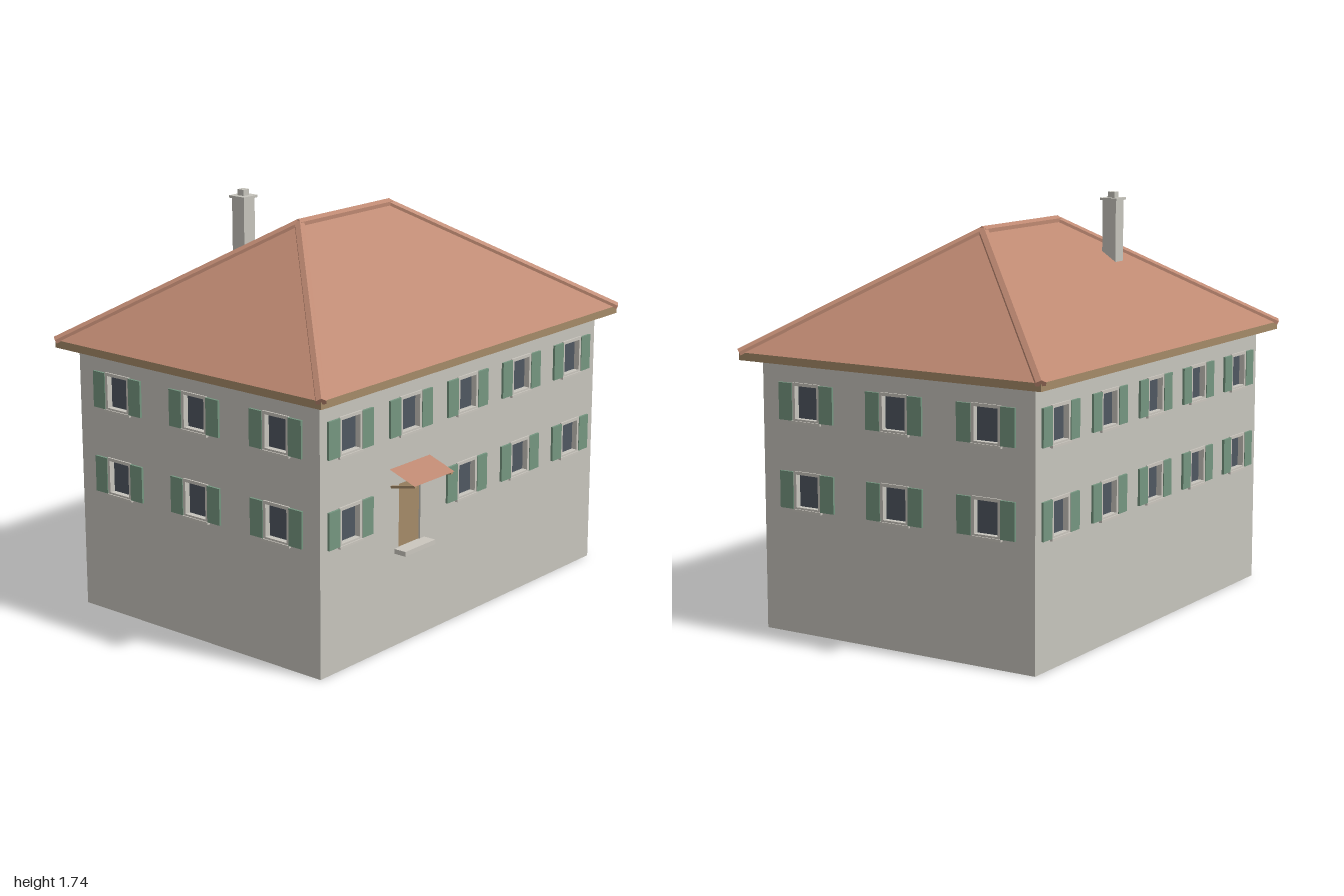
import * as THREE from 'three';

const mat = (name, color, side = THREE.FrontSide) => {
  const m = new THREE.MeshStandardMaterial({ color, side });
  m.name = name;
  return m;
};

export function createModel() {
  const plaster = mat('plaster', 0xc6c4bc);
  const trim = mat('stone trim', 0xcac6be);
  const tile = mat('roof tile', 0xbd8871, THREE.DoubleSide);
  const wood = mat('wood', 0xa48a68);
  const green = mat('shutter green', 0x759680);
  const glass = mat('window glass', 0x4f5761, THREE.DoubleSide);

  const model = new THREE.Group();
  model.name = 'house';
  const house = new THREE.Group();
  house.name = 'building';
  house.position.z = -0.026;
  model.add(house);

  const add = (parent, name, geo, material, x = 0, y = 0, z = 0) => {
    const mesh = new THREE.Mesh(geo, material);
    mesh.name = name;
    mesh.position.set(x, y, z);
    parent.add(mesh);
    return mesh;
  };
  const box = (parent, name, material, w, h, d, x, y, z) =>
    add(parent, name, new THREE.BoxGeometry(w, h, d), material, x, y, z);
  const rect = (Type, w, h, x = 0, y = 0) => {
    const s = new Type();
    s.moveTo(x - w / 2, y - h / 2);
    s.lineTo(x + w / 2, y - h / 2);
    s.lineTo(x + w / 2, y + h / 2);
    s.lineTo(x - w / 2, y + h / 2);
    s.closePath();
    return s;
  };
  const extrude = (shape, depth) => new THREE.ExtrudeGeometry(shape, { depth, bevelEnabled: false });
  // Flat-shaded surface from polygons listed counter-clockwise
  const panels = (polys) => {
    const pos = [];
    for (const p of polys)
      for (let i = 1; i < p.length - 1; i++) pos.push(...p[0], ...p[i], ...p[i + 1]);
    const g = new THREE.BufferGeometry();
    g.setAttribute('position', new THREE.Float32BufferAttribute(pos, 3));
    g.computeVertexNormals();
    return g;
  };

  // One shuttered window, centred on its opening
  const GW = 0.108, GH = 0.134;
  const frameShape = rect(THREE.Shape, 0.134, 0.16);
  frameShape.holes.push(rect(THREE.Path, GW, GH));
  const frameGeo = extrude(frameShape, 0.007);
  const addWindow = (wall, x, y) => {
    const w = new THREE.Group();
    w.name = 'window';
    w.position.set(x, y, 0);
    add(w, 'windowFrame', frameGeo, trim);
    add(w, 'windowPane', new THREE.PlaneGeometry(GW, GH), glass, 0, 0, -0.018);
    box(w, 'windowSill', trim, 0.142, 0.01, 0.012, 0, -0.08, 0.006);
    for (const s of [-1, 1]) box(w, 'shutter', green, 0.066, 0.152, 0.01, s * 0.1, 0.001, 0.005);
    wall.add(w);
  };

  // Walls with real openings
  const H = 1.15, ROWS = [0.592, 0.953];
  const doorX = -0.369, doorW = 0.138, doorH = 0.266, doorY = 0.543;
  const facade = (name, width, columns, distance, angle, hasDoor = false) => {
    const wall = new THREE.Group();
    wall.name = name;
    wall.rotation.y = angle;
    wall.position.set(Math.sin(angle) * distance, 0, Math.cos(angle) * distance);
    const shape = rect(THREE.Shape, width, H, 0, H / 2);
    for (const y of ROWS)
      for (const x of columns) {
        if (hasDoor && y === ROWS[0] && x === -0.37) continue;
        shape.holes.push(rect(THREE.Path, GW, GH, x, y));
        addWindow(wall, x, y);
      }
    if (hasDoor) shape.holes.push(rect(THREE.Path, doorW, doorH, doorX, doorY));
    add(wall, 'wall', extrude(shape, 0.02), plaster, 0, 0, -0.02);
    house.add(wall);
    return wall;
  };
  const WX = 0.916, WZ = 0.646;
  const longCols = [-0.74, -0.37, 0, 0.37, 0.74], shortCols = [-0.428, 0, 0.428];
  const front = facade('frontWall', WX * 2, longCols, WZ, 0, true);
  facade('backWall', WX * 2, longCols, WZ, Math.PI);
  facade('leftWall', WZ * 2, shortCols, WX, Math.PI / 2);
  facade('rightWall', WZ * 2, shortCols, WX, -Math.PI / 2);

  // Entrance: door, step, canopy on two struts
  box(front, 'door', wood, doorW, doorH, 0.008, doorX, doorY, -0.012);
  box(front, 'doorStep', trim, 0.192, 0.02, 0.057, doorX, 0.402, 0.028);
  const cx0 = -0.497, cx1 = -0.242;
  add(front, 'canopy', panels([[[cx0, 0.705, 0.125], [cx1, 0.705, 0.125], [cx1, 0.75, 0], [cx0, 0.75, 0]]]), tile);
  for (const x of [-0.485, -0.254]) {
    const strut = box(front, 'canopyStrut', wood, 0.012, 0.01, 0.123, x, 0.688, 0.061);
    strut.rotation.x = -0.21;
  }

  // Hipped roof: tiled top, wooden fascia and underside
  const EX = 0.985, EZ = 0.713, RX = 0.285, RISE = 0.472, TOP = 1.145, LOW = 1.113;
  const corners = (y) => [[-EX, y, EZ], [EX, y, EZ], [EX, y, -EZ], [-EX, y, -EZ]];
  const slopes = (y) => {
    const [a, b, c, d] = corners(y);
    const l = [-RX, y + RISE, 0], r = [RX, y + RISE, 0];
    return [[a, b, r, l], [b, c, r], [c, d, l, r], [d, a, l]];
  };
  const roof = new THREE.Group();
  roof.name = 'roof';
  house.add(roof);
  add(roof, 'roofTiles', panels(slopes(TOP)), tile);
  const lo = corners(LOW), hi = corners(TOP);
  const fascia = lo.map((p, i) => [p, lo[(i + 1) % 4], hi[(i + 1) % 4], hi[i]]);
  add(roof, 'fasciaAndSoffit', panels([...fascia, ...slopes(LOW).map((p) => [...p].reverse())]), wood);

  // Angled cap tiles along the ridge and hips
  const capTile = (name, from, to) => {
    const a = new THREE.Vector3(...from), b = new THREE.Vector3(...to);
    const s = new THREE.Shape();
    s.moveTo(-0.02, -0.012);
    s.lineTo(0.02, -0.012);
    s.lineTo(0.02, 0.004);
    s.lineTo(0, 0.015);
    s.lineTo(-0.02, 0.004);
    s.closePath();
    const mesh = add(roof, name, extrude(s, a.distanceTo(b)), tile);
    mesh.position.copy(a);
    mesh.lookAt(b.clone().add(house.position));
    const dir = b.clone().sub(a).normalize();
    const side = new THREE.Vector3(0, 1, 0).cross(dir).normalize();
    const up = dir.clone().cross(side);
    mesh.quaternion.setFromRotationMatrix(new THREE.Matrix4().makeBasis(side, up, dir));
  };
  const ridgeY = TOP + RISE;
  capTile('ridgeCap', [-RX - 0.01, ridgeY, 0], [RX + 0.01, ridgeY, 0]);
  for (const sx of [-1, 1])
    for (const sz of [-1, 1])
      capTile('hipCap', [sx * RX, ridgeY, 0], [sx * EX, TOP, sz * EZ]);

  // Chimney
  const chimney = new THREE.Group();
  chimney.name = 'chimney';
  chimney.position.set(-0.368, 0, -0.257);
  model.add(chimney);
  box(chimney, 'chimneyStack', plaster, 0.065, 0.3, 0.065, 0, 1.555, 0);
  box(chimney, 'chimneyCap', plaster, 0.082, 0.01, 0.082, 0, 1.708, 0);
  box(chimney, 'chimneyPot', plaster, 0.033, 0.026, 0.033, 0, 1.725, 0);

  return model;
}
